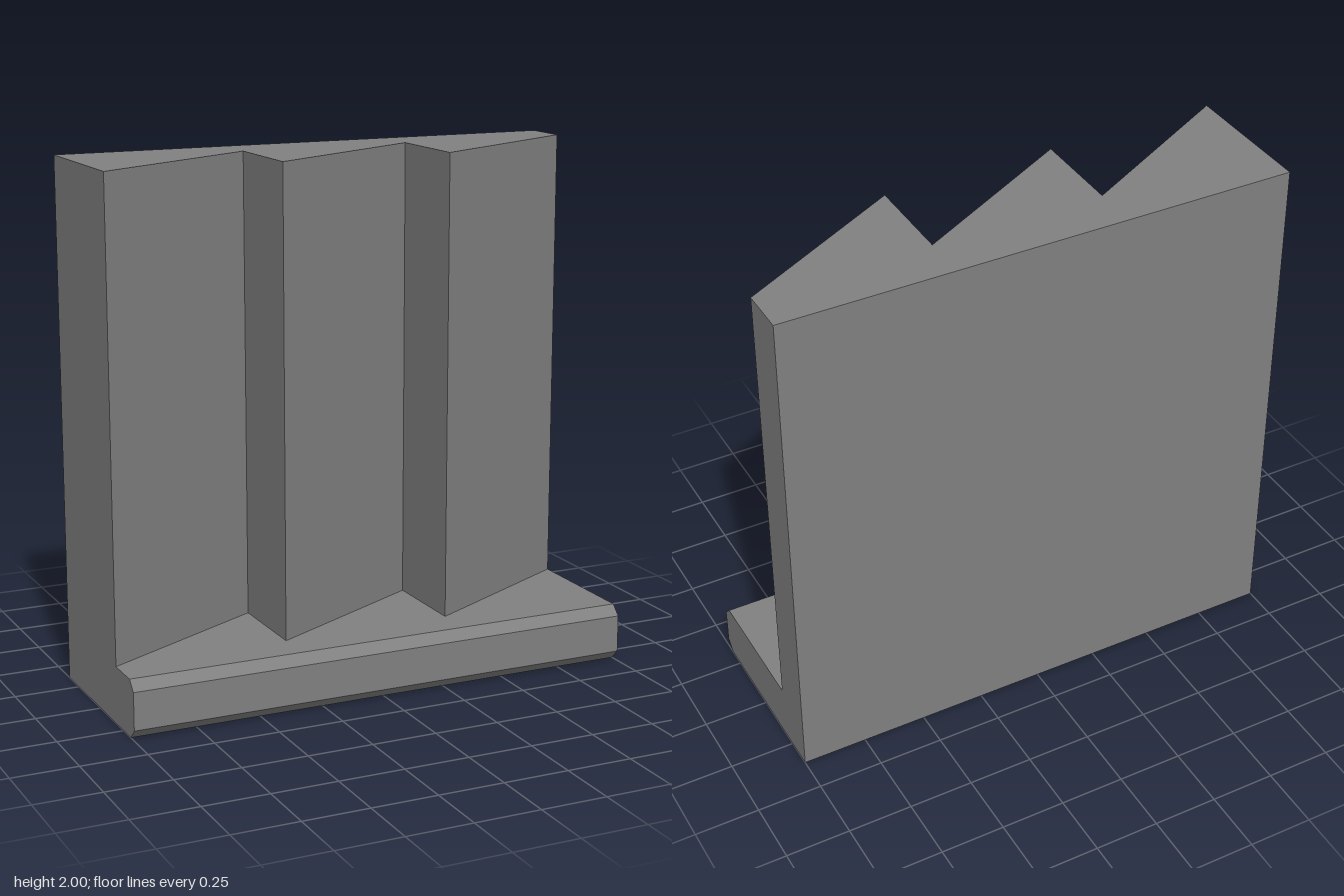
import * as THREE from 'three';

const HEIGHT = 2, BASE_TOP = 0.22, BACK = -0.363, FRONT = 0.363;
const TOOTH_FRONT = 0.182, TOOTH_BACK = -0.182, CHAMFER = 0.038, TEETH = 3;

// Extrudes a closed outline of [x, y] points to a flat-sided prism
function prism(points, depth) {
  const shape = new THREE.Shape(points.map(([x, y]) => new THREE.Vector2(x, y)));
  return new THREE.ExtrudeGeometry(shape, { depth, bevelEnabled: false });
}

export function createModel() {
  const group = new THREE.Group();
  group.name = 'sawtoothWallPanel';
  const grey = new THREE.MeshStandardMaterial({ color: 0x808080 });
  grey.name = 'concrete grey';

  // Plinth: side profile (outline x is -z) swept across the width
  const plinthGeometry = prism([
    [-BACK, 0],
    [-BACK, BASE_TOP],
    [-FRONT + CHAMFER, BASE_TOP],
    [-FRONT, BASE_TOP - CHAMFER],
    [-FRONT, CHAMFER],
    [-FRONT + CHAMFER, 0],
  ], 2);
  plinthGeometry.rotateY(Math.PI / 2).translate(-1, 0, 0);
  const plinth = new THREE.Mesh(plinthGeometry, grey);
  plinth.name = 'plinth';

  // Wall: sawtooth plan (outline y is -z) raised from the plinth
  const plan = [[1, -BACK], [-1, -BACK]];
  for (let i = 0; i < TEETH; i++) {
    plan.push([-1 + (2 * i) / TEETH, -TOOTH_FRONT]);
    plan.push([-1 + (2 * (i + 1)) / TEETH, -TOOTH_BACK]);
  }
  const wallGeometry = prism(plan, HEIGHT - BASE_TOP);
  wallGeometry.rotateX(-Math.PI / 2).translate(0, BASE_TOP, 0);
  const wall = new THREE.Mesh(wallGeometry, grey);
  wall.name = 'sawtoothWall';

  group.add(plinth, wall);
  return group;
}
